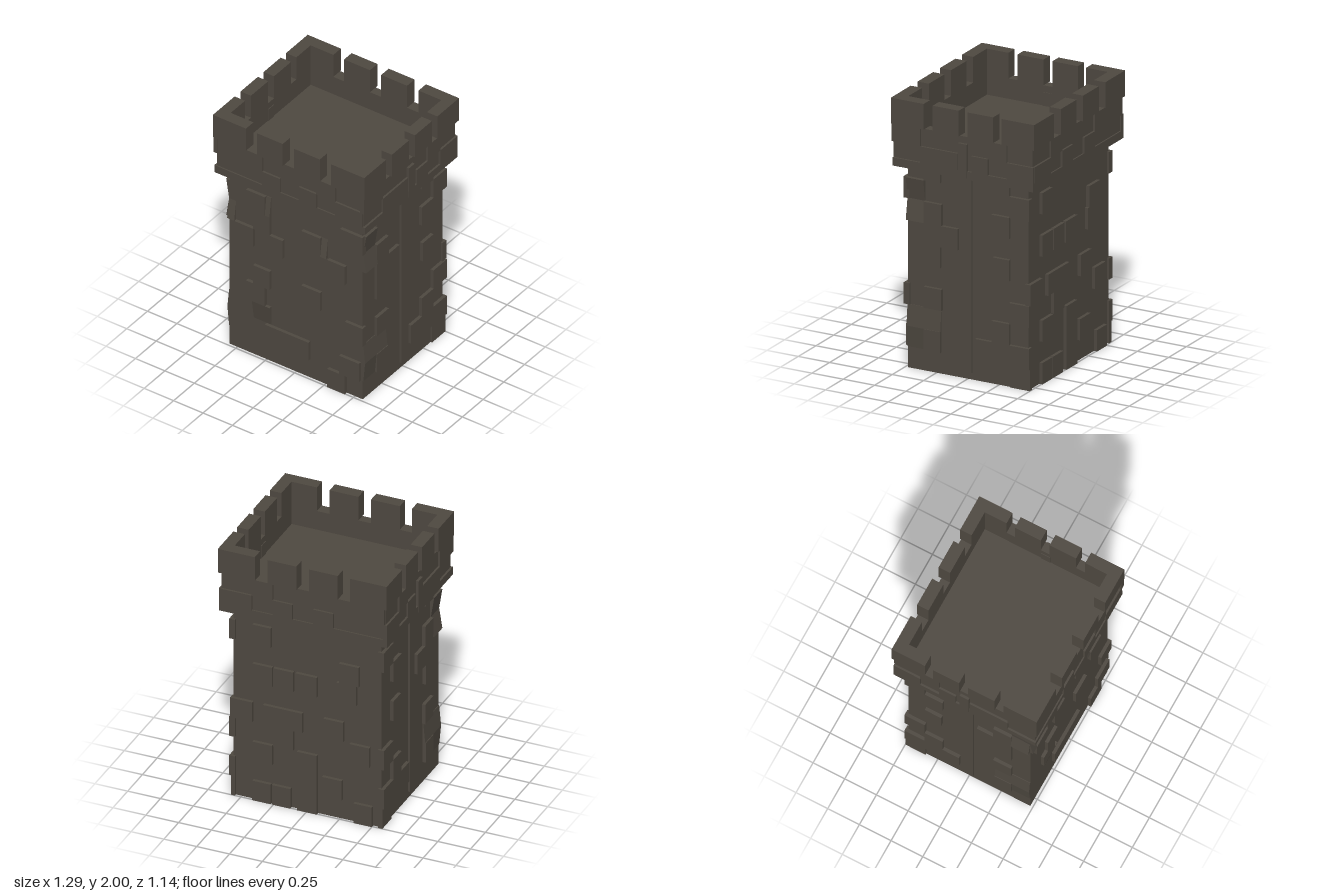
import * as THREE from 'three';

const STONE = new THREE.MeshStandardMaterial({ color: 0x4f4941 });
const ROW = 0.157; // height of one course of masonry

function add(parent, name, geometry, x = 0, y = 0, z = 0) {
  const mesh = new THREE.Mesh(geometry, STONE);
  mesh.name = name;
  mesh.position.set(x, y, z);
  parent.add(mesh);
  return mesh;
}

// Box given by its limits
function block(parent, name, x0, x1, y0, y1, z0, z1) {
  return add(parent, name, new THREE.BoxGeometry(x1 - x0, y1 - y0, z1 - z0),
    (x0 + x1) / 2, (y0 + y1) / 2, (z0 + z1) / 2);
}

// Raised stone on a wall plane z = wall; top and bottom edges may stand out differently
function raisedStone(parent, wall, u0, u1, y0, y1, top, bottom = top) {
  const g = new THREE.BoxGeometry(u1 - u0, y1 - y0, 1);
  const p = g.attributes.position;
  for (let i = 0; i < p.count; i++) {
    p.setZ(i, p.getZ(i) < 0 ? -0.02 : (p.getY(i) > 0 ? top : bottom));
  }
  g.computeVertexNormals();
  add(parent, 'raisedStone', g, (u0 + u1) / 2, (y0 + y1) / 2, wall);
}

// Horizontal outline extruded upwards from y0 to y1
function slab(parent, name, shape, y0, y1) {
  const g = new THREE.ExtrudeGeometry(shape, { depth: y1 - y0, bevelEnabled: false });
  g.rotateX(-Math.PI / 2);
  return add(parent, name, g, 0, y0, 0);
}

function rect(Type, w, d) {
  return new Type([[-w, -d], [w, -d], [w, d], [-w, d]].map(([x, y]) => new THREE.Vector2(x, y)));
}

export function createModel() {
  const tower = new THREE.Group();
  tower.name = 'castleTower';

  // Shaft, projecting ledge and parapet
  block(tower, 'shaft', -0.565, 0.565, 0, 1.52, -0.483, 0.48);
  block(tower, 'ledge', -0.64, 0.64, 1.5, 1.56, -0.56, 0.56);
  block(tower, 'roofDeck', -0.6, 0.6, 1.56, 1.66, -0.53, 0.53);
  const ring = rect(THREE.Shape, 0.625, 0.55);
  ring.holes.push(rect(THREE.Path, 0.555, 0.482));
  slab(tower, 'parapetWall', ring, 1.56, 1.81);

  // L-shaped corner merlons
  for (const sx of [-1, 1]) for (const sz of [-1, 1]) {
    const pts = [[0.362, 0.572], [0.643, 0.572], [0.643, 0.31], [0.555, 0.31], [0.555, 0.482], [0.362, 0.482]];
    const corner = new THREE.Shape(pts.map(([x, z]) => new THREE.Vector2(sx * x, sz * z)));
    slab(tower, 'cornerMerlon', corner, 1.81, 2);
  }
  // Middle merlons, two on each side
  for (const s of [-1, 1]) {
    for (const [x0, x1] of [[-0.27, -0.05], [0.045, 0.265]]) {
      block(tower, 'merlon', x0, x1, 1.81, 2, s > 0 ? 0.482 : -0.572, s > 0 ? 0.572 : -0.482);
    }
    for (const [z0, z1] of [[-0.245, -0.04], [0.03, 0.238]]) {
      block(tower, 'merlon', s > 0 ? 0.555 : -0.643, s > 0 ? 0.643 : -0.555, 1.81, 2, z0, z1);
    }
  }

  // Upright strips on both flanks
  const profile = new THREE.Shape([[0.55, 0.05], [0.58, 0.05], [0.58, 1.49], [0.645, 1.51], [0.645, 1.76], [0.55, 1.76]]
    .map(([x, y]) => new THREE.Vector2(x, y)));
  for (const s of [-1, 1]) {
    const g = new THREE.ExtrudeGeometry(profile, { depth: 0.07, bevelEnabled: false });
    g.translate(0, 0, -0.035);
    const strip = add(tower, 'flankStrip', g);
    strip.rotation.y = s > 0 ? 0 : Math.PI;
  }

  // Raised stones of the shaft: [start, end, course, stand-out of top, of bottom]
  const front = [
    [-0.41, -0.25, 8], [-0.25, -0.21, 8, 0.005, 0.025], [-0.35, -0.21, 7], [-0.25, -0.1, 6], [-0.51, -0.35, 6],
    [-0.57, -0.51, 7, 0, 0.025], [0.06, 0.22, 7], [0.22, 0.27, 7, 0, 0.025], [0.28, 0.43, 6], [0.06, 0.22, 4],
    [-0.35, -0.21, 4], [-0.41, -0.25, 3], [-0.36, -0.21, 2, 0.025, 0], [-0.25, -0.06, 1], [-0.06, 0.12, 1],
    [0.38, 0.55, 1], [0.43, 0.58, 3], [0.28, 0.43, 0], [0.39, 0.58, 8],
  ];
  const back = [
    [-0.41, -0.27, 8], [-0.41, -0.26, 6], [-0.25, -0.1, 6], [-0.08, 0.08, 6], [0.25, 0.4, 7], [0.23, 0.38, 6],
    [-0.58, -0.41, 4], [-0.33, -0.19, 4], [-0.19, -0.03, 4], [0.13, 0.28, 4], [-0.41, -0.26, 2],
    [-0.25, -0.1, 3], [-0.07, 0.08, 2], [0.33, 0.48, 3], [-0.07, 0.08, 1], [0.12, 0.27, 1],
    [-0.41, -0.27, 0], [-0.26, -0.12, 0], [-0.07, 0.08, 0], [0.36, 0.5, 0],
  ];
  const flank = [
    [-0.34, -0.21, 9], [0.2, 0.34, 9], [0.34, 0.5, 8], [-0.34, -0.2, 7], [0.2, 0.34, 7], [-0.34, -0.21, 6],
    [-0.21, -0.07, 6], [-0.34, -0.21, 5], [0.21, 0.34, 5], [-0.34, -0.2, 3], [0.34, 0.5, 3],
    [-0.34, -0.21, 2, 0.005, 0.02], [0.2, 0.34, 2], [-0.34, -0.21, 1], [0.07, 0.2, 1], [0.2, 0.34, 1],
    [0.34, 0.5, 1], [0.34, 0.5, 0, 0.012], [-0.48, -0.34, 8, 0.03, 0.005], [-0.48, -0.34, 7, 0.005, 0.03],
    [-0.48, -0.34, 2, 0.005, 0.02], [-0.48, -0.34, 1, 0.02, 0.005],
  ];
  // Raised stones of the parapet: [start, end, bottom, top]
  const frontCap = [[-0.62, -0.35, 1.68, 1.81], [0.23, 0.39, 1.68, 1.81], [-0.23, -0.08, 1.56, 1.68],
    [0.08, 0.23, 1.56, 1.68], [0.39, 0.62, 1.56, 1.68], [-0.35, -0.23, 1.68, 1.81]];
  const flankCap = [[-0.57, -0.34, 1.68, 1.81], [-0.34, -0.04, 1.56, 1.68], [0.07, 0.2, 1.56, 1.68],
    [0.2, 0.35, 1.68, 1.81], [0.35, 0.56, 1.56, 1.68]];

  const mirrored = (list) => list.map(([a, b, ...rest]) => [-b, -a, ...rest]);
  const sides = [
    ['frontStones', 0, 0.48, front, 0.55, frontCap],
    ['rightStones', Math.PI / 2, 0.565, flank, 0.625, flankCap],
    ['backStones', Math.PI, 0.483, back, 0.55, mirrored(frontCap)],
    ['leftStones', -Math.PI / 2, 0.565, mirrored(flank), 0.625, mirrored(flankCap)],
  ];
  for (const [name, turn, wall, stones, capWall, capStones] of sides) {
    const side = new THREE.Group();
    side.name = name;
    side.rotation.y = turn;
    for (const [a, b, row, top = 0.025, bottom = top] of stones) {
      raisedStone(side, wall, a, b, row * ROW, Math.min((row + 1) * ROW, 1.51), top, bottom);
    }
    for (const [a, b, y0, y1] of capStones) raisedStone(side, capWall, a, b, y0, y1, 0.015);
    tower.add(side);
  }
  return tower;
}
